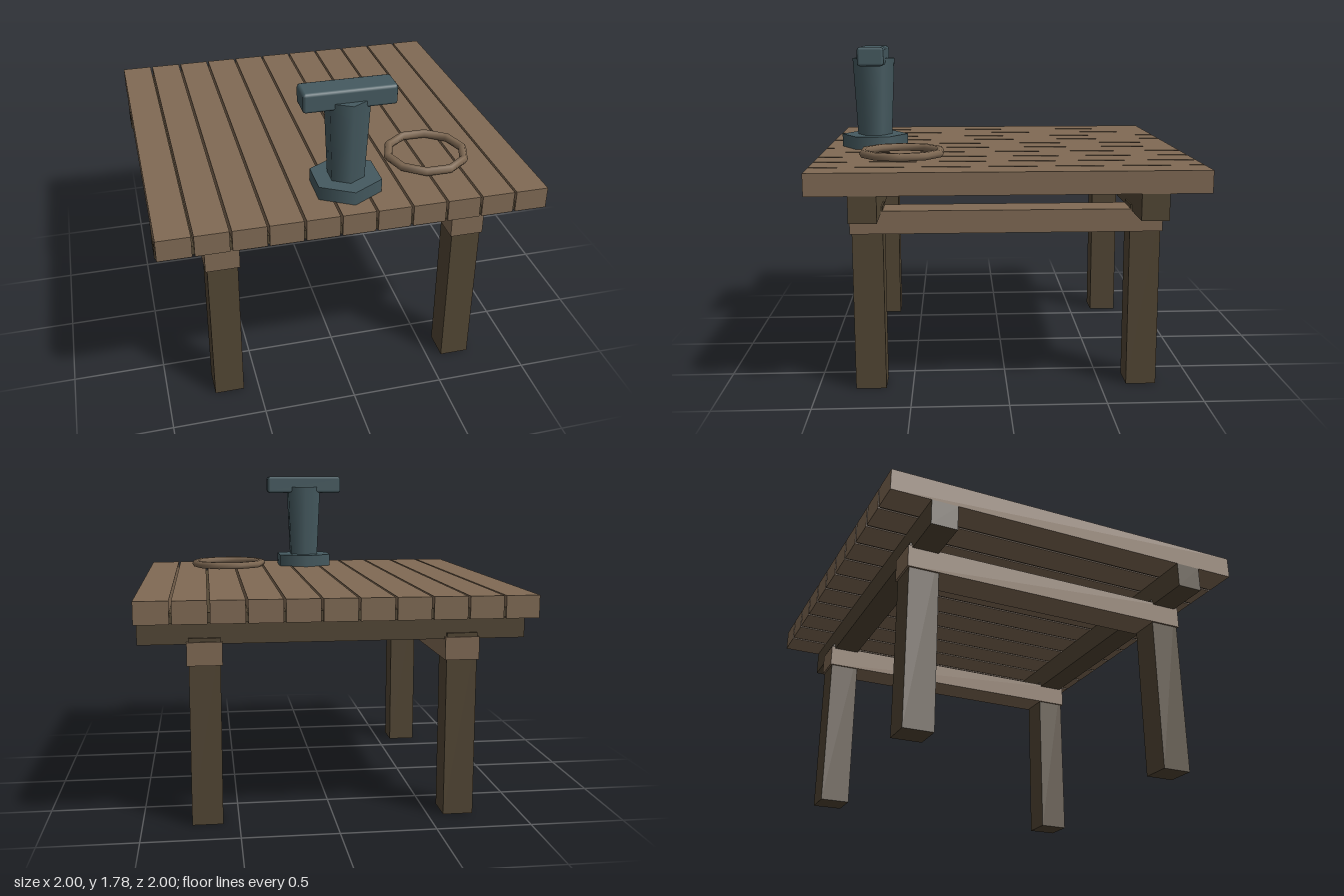
import * as THREE from 'three';
import { RoundedBoxGeometry } from 'three/addons/geometries/RoundedBoxGeometry.js';

const material = (name, color) => {
  const m = new THREE.MeshStandardMaterial({ color });
  m.name = name;
  return m;
};

export function createModel() {
  const model = new THREE.Group();
  model.name = 'woodenTable';
  const lightWood = material('light wood', 0x806a54);
  const darkWood = material('dark wood', 0x524634);
  const darkSteel = material('blue grey metal', 0x455a60);

  const add = (name, geometry, mat, x, y, z) => {
    const mesh = new THREE.Mesh(geometry, mat);
    mesh.name = name;
    mesh.position.set(x, y, z);
    model.add(mesh);
    return mesh;
  };
  // Box given by its bottom and top heights
  const box = (name, mat, w, d, y0, y1, x, z) =>
    add(name, new THREE.BoxGeometry(w, y1 - y0, d), mat, x, (y0 + y1) / 2, z);

  // Table top: planks with dark strips set into the gaps
  const count = 11, gap = 0.012;
  const plankWidth = (2 - gap * (count - 1)) / count;
  const pitch = plankWidth + gap;
  for (let i = 0; i < count; i++) {
    const x = (i - (count - 1) / 2) * pitch;
    box('plank', lightWood, plankWidth, 2, 1.085, 1.2, x, 0);
    if (i < count - 1) box('gapStrip', darkWood, gap, 1.98, 1.09, 1.14, x + pitch / 2, 0);
  }

  // Frame: cross beams, side rails and legs
  for (const s of [-1, 1]) {
    box('crossBeam', darkWood, 2, 0.14, 0.95, 1.085, 0, s * 0.718);
    box('sideRail', lightWood, 0.18, 1.62, 0.842, 0.962, s * 0.664, 0);
    for (const t of [-1, 1]) box('leg', darkWood, 0.16, 0.16, 0, 0.982, s * 0.664, t * 0.72);
  }

  // Upright stand with a six-sided foot, flared column and crossbar
  const z = 0.73;
  add('standBase', new THREE.CylinderGeometry(0.19, 0.19, 0.072, 6), darkSteel, 0, 1.236, z);
  add('standColumn', new THREE.CylinderGeometry(0.12, 0.098, 0.45, 6), darkSteel, 0, 1.485, z);
  add('standCrossbar', new RoundedBoxGeometry(0.476, 0.104, 0.146, 1, 0.016), darkSteel, 0, 1.724, z);

  // Ring lying on the table
  const ring = add('ring', new THREE.TorusGeometry(0.21, 0.023, 6, 10), lightWood, 0.5, 1.232, 0.547);
  ring.rotation.x = -Math.PI / 2;

  return model;
}
